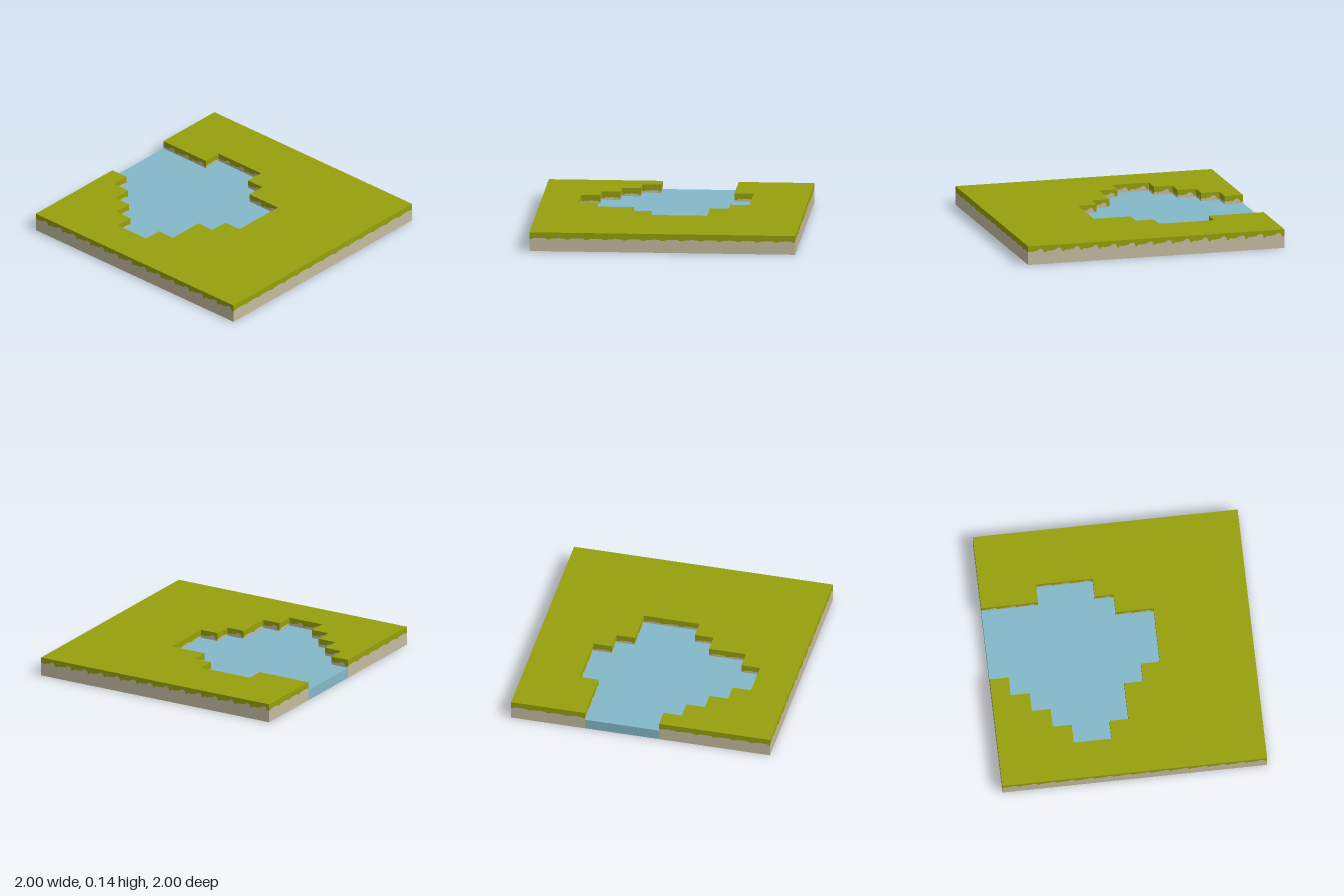
import * as THREE from 'three';
import { mergeGeometries } from 'three/addons/utils/BufferGeometryUtils.js';

const TILE = 1 / 7; // the slab is 14 x 14 tiles and one tile high
const TOP = TILE;
const WATER = 0.08;

// Land outline in tiles [x, z], counter-clockwise from above; from the fifth point on it follows the bank
const LAND = [
  [-7, 7], [7, 7], [7, -7], [-7, -7],
  [-7, -3], [-4, -3], [-4, -4], [-1, -4], [-1, -3], [0, -3], [0, -2], [2, -2], [2, 1], [1, 1],
  [1, 2], [0, 2], [0, 4], [-1, 4], [-1, 5], [-3, 5], [-3, 4], [-4, 4], [-4, 3], [-5, 3],
  [-5, 2], [-6, 2], [-6, 1], [-7, 1],
];
const POND = LAND.slice(4);

// Lower edge of the grass over one tile: [fraction along tile, height]
const JAGGED = [[0, 0.098], [0.1, 0.103], [0.2, 0.097], [0.35, 0.104], [0.45, 0.102], [0.55, 0.113],
  [0.68, 0.12], [0.8, 0.113], [0.85, 0.094], [0.92, 0.086], [1, 0.098]];
const GENTLE = [[0, 0.09], [0.12, 0.093], [0.22, 0.099], [0.4, 0.098], [0.52, 0.102], [0.7, 0.099],
  [0.82, 0.1], [0.9, 0.092], [1, 0.09]];

const shapeOf = (pts) => new THREE.Shape(pts.map(([x, y]) => new THREE.Vector2(x, y)));
const planShape = (tiles) => shapeOf(tiles.map(([x, z]) => [x * TILE, -z * TILE]));

// One upright tile-wide face between the ragged edge and a level height
function wallFace(edge, level, x, z, angle) {
  const pts = edge.map(([t, y]) => [t * TILE, y]);
  const g = new THREE.ShapeGeometry(shapeOf([...pts, [TILE, level], [0, level]]));
  return g.rotateY(angle).translate(x * TILE, 0, z * TILE);
}

export function createModel() {
  const grass = new THREE.MeshStandardMaterial({ color: 0x96a00c });
  grass.name = 'grass green';
  const soil = new THREE.MeshStandardMaterial({ color: 0xc5bca0 });
  soil.name = 'sandy soil';
  const water = new THREE.MeshStandardMaterial({ color: 0x83b9c9 });
  water.name = 'water blue';

  const model = new THREE.Group();
  model.name = 'pondTile';
  const add = (name, geometry, material) => {
    const mesh = new THREE.Mesh(geometry, material);
    mesh.name = name;
    model.add(mesh);
  };

  // Outer sides and pond banks, tile by tile
  const fringe = [];
  const banks = [];
  LAND.forEach(([x0, z0], i) => {
    const [x1, z1] = LAND[(i + 1) % LAND.length];
    if (i === LAND.length) return;
    const dx = Math.sign(x1 - x0);
    const dz = Math.sign(z1 - z0);
    const count = Math.abs(x1 - x0) + Math.abs(z1 - z0);
    const angle = Math.atan2(-dz, dx);
    const edge = dx !== 0 ? JAGGED : GENTLE;
    for (let k = 0; k < count; k++) {
      const x = x0 + dx * k;
      const z = z0 + dz * k;
      fringe.push(wallFace(edge, TOP, x, z, angle));
      banks.push(wallFace(edge, 0, x, z, angle));
    }
  });
  add('grassFringe', mergeGeometries(fringe), grass);
  add('soilSides', mergeGeometries(banks), soil);

  // Flat top and underside of the land
  const top = new THREE.ShapeGeometry(planShape(LAND)).rotateX(-Math.PI / 2).translate(0, TOP, 0);
  add('grassTop', top, grass);
  const under = new THREE.ShapeGeometry(planShape(LAND.map(([x, z]) => [x, -z])));
  add('soilUnderside', under.rotateX(Math.PI / 2), soil);

  // Pond water, open to the -x side
  const pond = new THREE.ExtrudeGeometry(planShape(POND), { depth: WATER, bevelEnabled: false });
  add('pondWater', pond.rotateX(-Math.PI / 2), water);

  return model;
}
